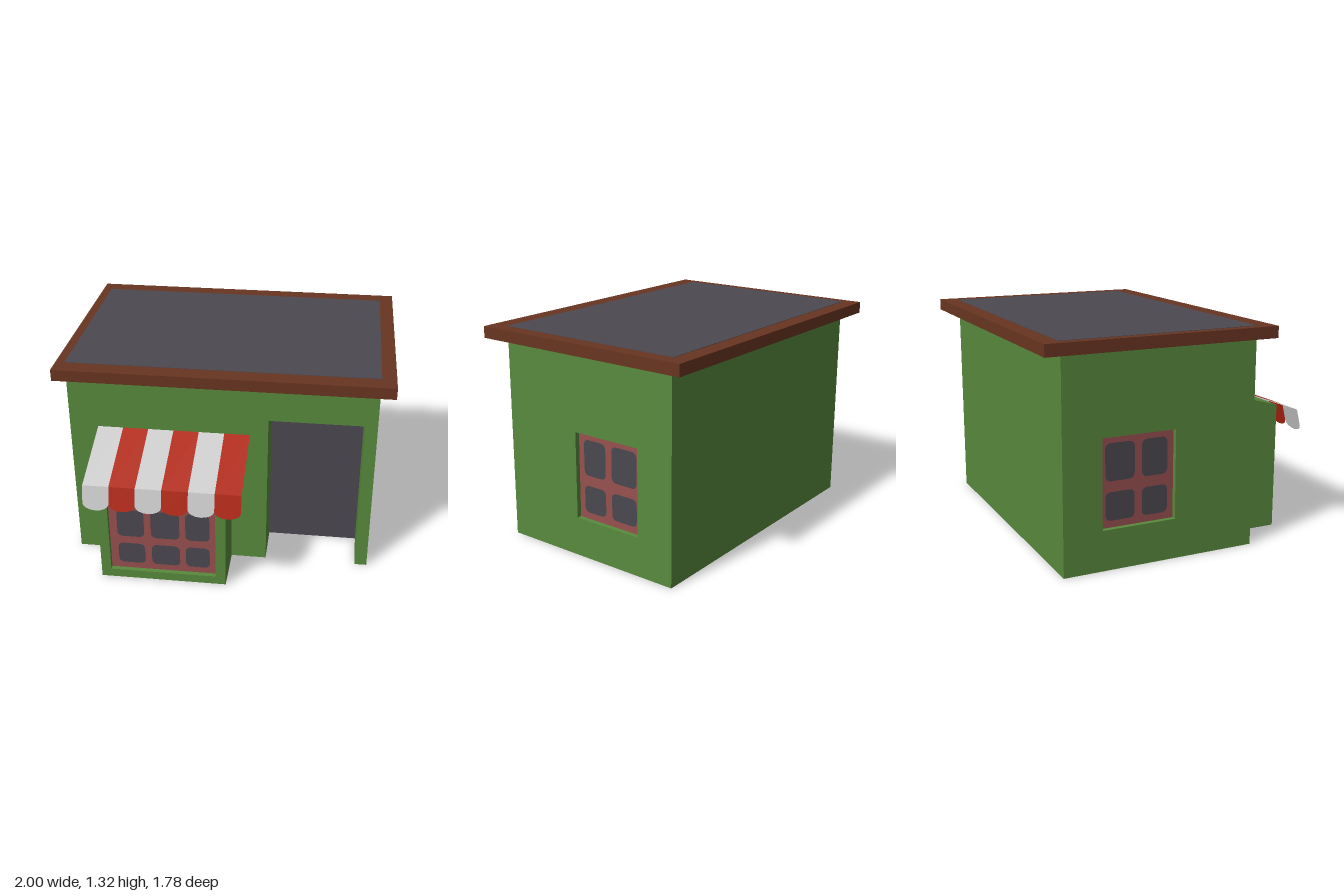
import * as THREE from 'three';
import { mergeGeometries } from 'three/addons/utils/BufferGeometryUtils.js';

const mat = (name, color, sides = THREE.DoubleSide) => {
  const m = new THREE.MeshStandardMaterial({ color, side: sides });
  m.name = name;
  return m;
};

export function createModel() {
  const green = mat('wallGreen', 0x588a3d);
  const brown = mat('roofBrown', 0x693521, THREE.FrontSide);
  const grey = mat('darkGrey', 0x4b4850);
  const pink = mat('frameRed', 0x97504f);
  const white = mat('awningWhite', 0xcbcbcb);
  const red = mat('awningRed', 0xb0240e);

  const add = (parent, name, geometry, material) => {
    const mesh = new THREE.Mesh(geometry, material);
    mesh.name = name;
    parent.add(mesh);
    return mesh;
  };
  const group = (parent, name) => {
    const g = new THREE.Group();
    g.name = name;
    parent.add(g);
    return g;
  };
  const polygon = (pts) => new THREE.Shape(pts.map(([x, y]) => new THREE.Vector2(x, y)));
  const rect = (x0, x1, y0, y1) => polygon([[x0, y0], [x1, y0], [x1, y1], [x0, y1]]);
  // Pane outline with softened corners
  const paneShape = (x0, x1, y0, y1, r = 0.03) => {
    const pts = [];
    const corners = [[x1 - r, y1 - r], [x0 + r, y1 - r], [x0 + r, y0 + r], [x1 - r, y0 + r]];
    corners.forEach(([cx, cy], i) => {
      for (let k = 0; k <= 3; k++) {
        const a = (i + k / 3) * Math.PI / 2;
        pts.push([cx + r * Math.cos(a), cy + r * Math.sin(a)]);
      }
    });
    return polygon(pts);
  };
  // Flat four-cornered face, corners counter-clockwise
  const quad = (a, b, c, d) => {
    const g = new THREE.BufferGeometry();
    g.setAttribute('position', new THREE.Float32BufferAttribute([a, b, c, a, c, d].flat(), 3));
    g.computeVertexNormals();
    return g;
  };
  // Inner sides of a rectangular opening, from depth zBack to zFront
  const reveal = (x0, x1, y0, y1, zBack, zFront, hasSill = true) => {
    const p = [[x0, y0], [x1, y0], [x1, y1], [x0, y1]];
    const faces = [];
    for (let i = hasSill ? 0 : 1; i < 4; i++) {
      const a = p[i], b = p[(i + 1) % 4];
      faces.push(quad([...a, zFront], [...b, zFront], [...b, zBack], [...a, zBack]));
    }
    return mergeGeometries(faces);
  };

  // Recessed window: reveal, frame with openings, panes
  const addWindow = (parent, [x0, x1, y0, y1], cols, rows, zFront) => {
    const g = group(parent, 'window');
    const z = zFront - 0.03;
    const frame = rect(x0, x1, y0, y1);
    const panes = [];
    for (const [a, b] of cols) for (const [c, d] of rows) panes.push(paneShape(a, b, c, d));
    frame.holes.push(...panes);
    add(g, 'windowReveal', reveal(x0, x1, y0, y1, z, zFront), green);
    add(g, 'windowFrame', new THREE.ShapeGeometry(frame), pink).position.z = z;
    add(g, 'windowPanes', new THREE.ShapeGeometry(panes), grey).position.z = z;
  };

  const model = new THREE.Group();
  model.name = 'shop';
  const X0 = -0.945, X1 = 0.915, Z0 = -0.78, Z1 = 0.42, H = 1.25;

  // Front wall, open for the bay and the doorway
  const bay = { x0: -0.73, x1: 0.05, z: 0.725, yFront: 0.78, yBack: 0.865 };
  const door = { x0: 0.27, x1: 0.84, y: 1.005, z: 0.14 };
  const front = polygon([
    [X0, 0], [bay.x0, 0], [bay.x0, bay.yBack], [bay.x1, bay.yBack], [bay.x1, 0],
    [door.x0, 0], [door.x0, door.y], [door.x1, door.y], [door.x1, 0],
    [X1, 0], [X1, H], [X0, H],
  ]);
  add(model, 'frontWall', new THREE.ShapeGeometry(front), green).position.z = Z1;
  add(model, 'backWall', quad([X1, 0, Z0], [X0, 0, Z0], [X0, H, Z0], [X1, H, Z0]), green);

  // Side walls with four-pane windows; s mirrors the layout
  for (const s of [1, -1]) {
    const side = group(model, s > 0 ? 'leftSide' : 'rightSide');
    side.rotation.y = s * Math.PI / 2;
    side.position.x = s > 0 ? X1 : X0;
    const span = (a, b) => (s > 0 ? [a, b] : [-b, -a]);
    const opening = [...span(0.093, 0.545), 0.24, 0.77];
    const wall = rect(...span(-Z1, -Z0), 0, H);
    wall.holes.push(rect(...opening));
    add(side, 'sideWall', new THREE.ShapeGeometry(wall), green);
    addWindow(side, opening, [span(0.13, 0.29), span(0.335, 0.515)],
      [[0.28, 0.447], [0.51, 0.728]], 0);
  }

  // Recessed doorway
  add(model, 'doorReveal', reveal(door.x0, door.x1, 0, door.y, door.z, Z1, false), green);
  add(model, 'door', new THREE.ShapeGeometry(rect(door.x0, door.x1, 0, door.y)), grey)
    .position.z = door.z;

  // Bay with sloping top and nine-pane window
  const bayGroup = group(model, 'bay');
  const { x0, x1, z, yFront, yBack } = bay;
  const bayOpening = [-0.67, -0.012, 0.055, 0.722];
  const bayFront = rect(x0, x1, 0, yFront);
  bayFront.holes.push(rect(...bayOpening));
  add(bayGroup, 'bayFront', new THREE.ShapeGeometry(bayFront), green).position.z = z;
  add(bayGroup, 'bayTop',
    quad([x0, yFront, z], [x1, yFront, z], [x1, yBack, Z1], [x0, yBack, Z1]), green);
  add(bayGroup, 'baySides', mergeGeometries([
    quad([x1, 0, z], [x1, 0, Z1], [x1, yBack, Z1], [x1, yFront, z]),
    quad([x0, 0, Z1], [x0, 0, z], [x0, yFront, z], [x0, yBack, Z1]),
  ]), green);
  addWindow(bayGroup, bayOpening, [[-0.622, -0.455], [-0.413, -0.237], [-0.2, -0.052]],
    [[0.095, 0.24], [0.292, 0.485], [0.535, 0.682]], z);

  // Striped awning with a scalloped valance
  const awning = group(model, 'awning');
  const left = -0.77, stripe = 0.155, yLip = 0.745, zLip = 0.85;
  for (let i = 0; i < 6; i++) {
    const a = left + i * stripe, b = a + stripe;
    const colour = i % 2 ? red : white;
    add(awning, 'awningStripe',
      quad([a, yLip, zLip], [b, yLip, zLip], [b, 0.902, 0.415], [a, 0.902, 0.415]), colour);
    const pts = [[b, 0], [a, 0]];
    for (let k = 0; k <= 8; k++) {
      const t = Math.PI * k / 8;
      pts.push([(a + b) / 2 - stripe / 2 * Math.cos(t), -0.107 - 0.042 * Math.sin(t)]);
    }
    const flap = add(awning, 'awningScallop', new THREE.ShapeGeometry(polygon(pts)), colour);
    flap.position.set(0, yLip, zLip);
    flap.rotation.x = -0.25;
  }

  // Roof slab and its inset covering
  add(model, 'roofSlab', new THREE.BoxGeometry(2, 0.07, 1.42), brown).position.set(0, 1.283, -0.18);
  add(model, 'roofCovering', new THREE.BoxGeometry(X1 - X0, 0.004, 1.21), grey)
    .position.set((X0 + X1) / 2, 1.318, -0.185);

  return model;
}
